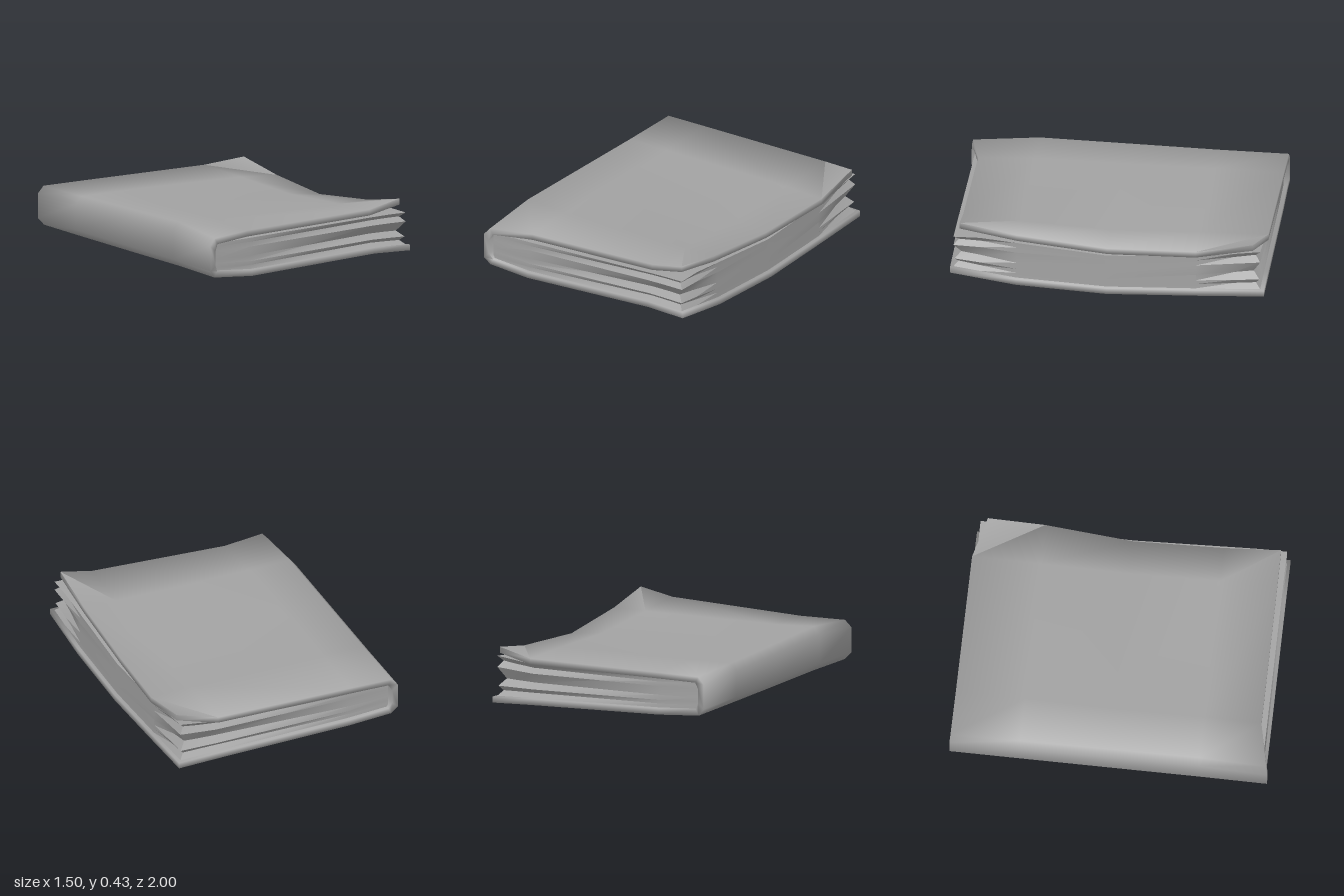
import * as THREE from 'three';
import { toCreasedNormals } from 'three/addons/utils/BufferGeometryUtils.js';

const { lerp, clamp, smoothstep } = THREE.MathUtils;

// Outer heights of the worn cover boards: rows run front to back, columns spine to fore edge
const ZS = [1, 0.57, 0, -0.56, -1];
const XS = [-0.71, -0.43, 0.48, 0.745];
const TOP = [
  [0.34, 0.35, 0.385, 0.43],
  [0.375, 0.362, 0.36, 0.362],
  [0.36, 0.35, 0.325, 0.30],
  [0.345, 0.348, 0.338, 0.322],
  [0.338, 0.34, 0.342, 0.38],
];
const BOTTOM = [
  [0.09, 0.07, 0.113, 0.105],
  [0.095, 0.07, 0.045, 0.04],
  [0.092, 0.068, 0.018, 0.005],
  [0.09, 0.068, 0.028, 0.02],
  [0.09, 0.07, 0.045, 0.035],
];
// Outline of the curled upper board
const TIP_X = [0.70, 0.70, 0.705, 0.745, 0.73];
const FRONT_Z = [0.99, 0.93, 0.93, 0.93];
const BACK_Z = [0.997, 0.995, 0.992, 0.92];
const THICK = 0.038;

// Rim of the page block, top to bottom: [height fraction, groove depth at the open corners]
const LEAVES = [[1, 0], [0.87, 0.03], [0.72, 0], [0.42, 0.045], [0.25, 0.005], [0.13, 0.03], [0, 0]];

// Bilinear height lookup in one of the tables
function sample(table, x, z) {
  const find = (list, v, sign) => {
    let n = 0;
    while (n < list.length - 2 && sign * v > sign * list[n + 1]) n++;
    return [n, clamp((v - list[n]) / (list[n + 1] - list[n]), 0, 1)];
  };
  const [i, s] = find(XS, x, 1);
  const [j, t] = find(ZS, z, -1);
  return lerp(lerp(table[j][i], table[j][i + 1], s), lerp(table[j + 1][i], table[j + 1][i + 1], s), t);
}

// Solid sheet: the first and last layers are full grids, all layers are joined around the rim
function thickSheet(name, nu, nv, layers, crease) {
  const pos = [];
  const quad = (a, b, c, d) => {
    for (const p of [a, b, c, a, c, d]) pos.push(...p);
  };
  const outer = layers[0];
  const inner = layers[layers.length - 1];
  for (let i = 0; i < nu; i++) {
    for (let j = 0; j < nv; j++) {
      quad(outer(i, j), outer(i, j + 1), outer(i + 1, j + 1), outer(i + 1, j));
      quad(inner(i, j), inner(i + 1, j), inner(i + 1, j + 1), inner(i, j + 1));
    }
  }
  const rim = [];
  for (let i = 0; i < nu; i++) rim.push([i, 0]);
  for (let j = 0; j < nv; j++) rim.push([nu, j]);
  for (let i = nu; i > 0; i--) rim.push([i, nv]);
  for (let j = nv; j > 0; j--) rim.push([0, j]);
  rim.forEach((a, n) => {
    const b = rim[(n + 1) % rim.length];
    for (let k = 0; k < layers.length - 1; k++) {
      quad(layers[k](...a), layers[k](...b), layers[k + 1](...b), layers[k + 1](...a));
    }
  });
  const geo = new THREE.BufferGeometry();
  geo.setAttribute('position', new THREE.Float32BufferAttribute(pos, 3));
  const mesh = new THREE.Mesh(
    toCreasedNormals(geo, crease),
    new THREE.MeshStandardMaterial({ color: 0xa2a2a2, side: THREE.DoubleSide })
  );
  mesh.name = name;
  return mesh;
}

// Wrap-around cover: upper board, spine, lower board in one path of ten stations
function coverPoint(i, j, inside) {
  const upper = i < 5;
  const step = upper ? i : 9 - i; // 0 = fore edge ... 4 = spine face
  const col = Math.max(3 - step, 0);
  const dir = upper ? -1 : 1;
  let y = (upper ? TOP : BOTTOM)[j][col];
  let x = XS[col];
  if (step === 0 && upper) x = TIP_X[j];
  if (step === 4) {
    x = inside ? -0.712 : -0.75;
    y += dir * (inside ? 0.08 : 0.045);
  } else {
    if (inside) y += dir * THICK;
    if (inside && step === 3) x = -0.69;
  }
  const front = step === 4 ? 1 : upper ? FRONT_Z[col] : 0.985;
  const back = step === 4 ? 1 : upper ? BACK_Z[col] : 0.99;
  const z = ZS[j] > 0.9 ? front : ZS[j] < -0.9 ? -back : ZS[j];
  return [x, y, z];
}

// Page block whose edge folds into grooves toward the open corners
const PAGE_X = [0.725, 0.6, 0.48, 0, -0.43, -0.7];
const PAGE_Z = [0.965, 0.8, 0.57, 0, -0.56, -0.8, -0.965];
function pagePoint(i, j, fraction, depth) {
  const x = PAGE_X[i], z = PAGE_Z[j];
  const low = sample(BOTTOM, x, z) + THICK + 0.003;
  const high = Math.min(sample(TOP, x, z) - THICK - 0.003, 0.345);
  const inset = depth * smoothstep(Math.abs(z), 0.5, 0.95) * clamp((x + 0.5) / 1.0, 0, 1);
  return [
    i === 0 ? x - inset : x,
    lerp(low, high, fraction),
    j === 0 || j === 6 ? z - Math.sign(z) * inset : z,
  ];
}

export function createModel() {
  const book = new THREE.Group();
  book.name = 'book';

  // Softly rounded cover
  book.add(thickSheet('cover', 9, 4,
    [false, true].map((inside) => (i, j) => coverPoint(i, j, inside)), 1.75));

  // Leaves
  book.add(thickSheet('pages', 5, 6,
    LEAVES.map(([fraction, depth]) => (i, j) => pagePoint(i, j, fraction, depth)), 0.5));
  return book;
}
